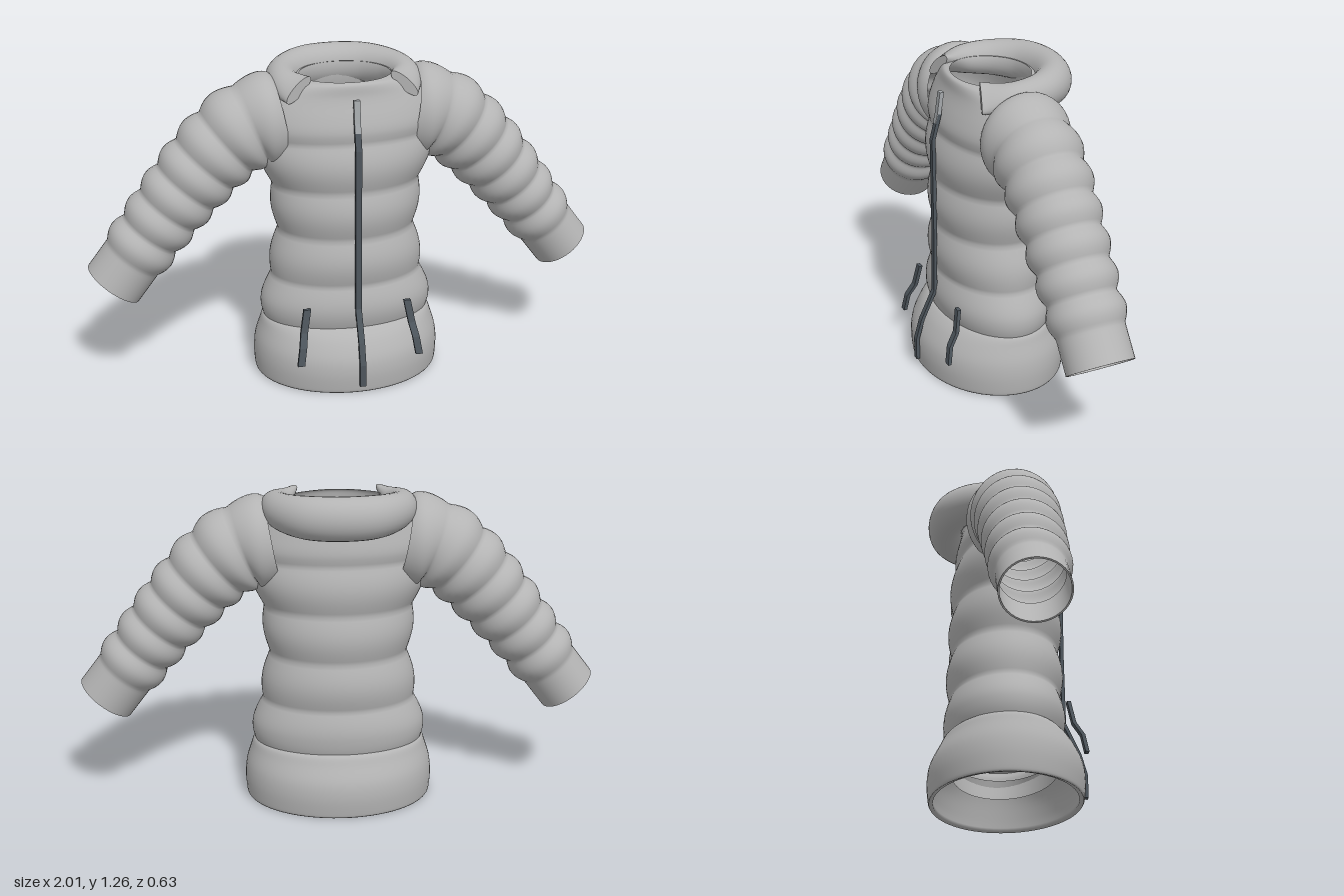
import * as THREE from 'three';

// Skin closed rings of points into one smooth surface
function loft(rings) {
  const n = rings[0].length, pos = [], idx = [];
  rings.forEach(r => r.forEach(p => pos.push(p.x, p.y, p.z)));
  for (let i = 0; i < rings.length - 1; i++) {
    for (let j = 0; j < n; j++) {
      const k = (j + 1) % n, a = i * n + j, b = i * n + k;
      idx.push(a, b, b + n, a, b + n, a + n);
    }
  }
  const g = new THREE.BufferGeometry();
  g.setAttribute('position', new THREE.Float32BufferAttribute(pos, 3));
  g.setIndex(idx);
  g.computeVertexNormals();
  return g;
}

// Close both ends of a ring list with flat, sharp-edged caps
function capped(rings) {
  const flat = ring => {
    const c = new THREE.Vector3();
    ring.forEach(p => c.add(p));
    c.divideScalar(ring.length);
    return ring.map(() => c);
  };
  const first = rings[0], last = rings[rings.length - 1];
  return [flat(first), first, ...rings, last, flat(last)];
}

// Smoothly resample rows of numbers
function sampleRows(rows, count) {
  const f = new THREE.CubicInterpolant(rows.map((_, i) => i), rows.flat(), rows[0].length);
  return Array.from({ length: count + 1 }, (_, i) =>
    Array.from(f.evaluate(Math.min(i / count * (rows.length - 1), rows.length - 1))));
}

function ringOf(n, fn) {
  return Array.from({ length: n }, (_, j) => fn(j / n * Math.PI * 2));
}

// Level oval with separate front and back depths
function oval(y, rx, front, back, puff = 0) {
  return ringOf(64, t => {
    const c = Math.cos(t);
    return new THREE.Vector3((rx + puff) * Math.sin(t), y, ((c > 0 ? front : back) + puff) * c);
  });
}

// Sleeve with stitched puffs, a plain cuff and a turned-in edge
function sleeve(side) {
  const path = new THREE.CatmullRomCurve3([
    [0.25, 1.05], [0.36, 1.03], [0.47, 0.955], [0.645, 0.765], [0.91, 0.425],
  ].map(([x, y]) => new THREE.Vector3(side * x, y, -0.015)));
  const ring = (s, scale) => {
    const c = path.getPointAt(s), d = path.getTangentAt(s);
    const out = new THREE.Vector3(0, 0, 1), b = d.clone().cross(out);
    const puff = s < 0.86 ? 0.02 * Math.abs(Math.sin(s / 0.86 * 7 * Math.PI)) : 0;
    const fade = Math.min(1, s / 0.75);
    const rz = (THREE.MathUtils.lerp(0.155, 0.125, fade) + puff) * scale;
    const rb = (THREE.MathUtils.lerp(0.165, 0.118, fade) + puff) * scale;
    return ringOf(40, t => c.clone().addScaledVector(out, rz * Math.cos(t)).addScaledVector(b, rb * Math.sin(t)));
  };
  const rings = [];
  for (let i = 0; i <= 98; i++) rings.push(ring(i / 98, 1));
  rings.push(ring(1, 1), ring(1, 0.95), ring(1, 0.95), ring(0.86, 0.93));
  return loft(rings);
}

// Narrow rectangular strip following a few points, bottom to top
function strip(points, w, t) {
  const corners = [[-w, t], [w, t], [w, -t], [-w, -t]];
  const rings = points.map(([x, y, z]) => corners.map(([u, v]) => new THREE.Vector3(x + u, y, z + v)));
  const g = loft(capped(rings)).toNonIndexed();
  g.computeVertexNormals();
  return g;
}

export function createModel() {
  const model = new THREE.Group();
  model.name = 'paddedJacket';
  const material = (name, color) => {
    const m = new THREE.MeshStandardMaterial({ color, side: THREE.DoubleSide });
    m.name = name;
    return m;
  };
  const fabric = material('grey fabric', 0xb4b4b4);
  const zipDark = material('dark zip', 0x4d555c);
  const zipLight = material('light zip pull', 0xa4a8ab);
  const add = (name, geometry, mat) => {
    const m = new THREE.Mesh(geometry, mat);
    m.name = name;
    model.add(m);
  };

  // Quilted torso: height, half width, front depth, back depth
  const torso = sampleRows([
    [0.12, 0.305, 0.20, 0.20], [0.22, 0.325, 0.205, 0.218], [0.30, 0.322, 0.207, 0.215],
    [0.41, 0.298, 0.205, 0.212], [0.60, 0.268, 0.20, 0.205], [0.79, 0.288, 0.20, 0.20],
    [0.97, 0.335, 0.192, 0.193], [1.08, 0.335, 0.17, 0.177], [1.15, 0.31, 0.155, 0.177],
    [1.195, 0.245, 0.148, 0.183], [1.207, 0.175, 0.132, 0.165],
  ], 120);
  add('torso', loft(torso.map(([y, rx, f, b]) => {
    const fade = THREE.MathUtils.clamp((1.17 - y) / 0.15, 0, 1);
    const puff = y > 0.22 ? 0.02 * fade * Math.abs(Math.sin((y - 0.22) / 0.19 * Math.PI)) : 0;
    return oval(y, rx, f, b, puff);
  })), fabric);

  // Flared hem band, from the inner facing round the bottom edge and up
  const hemInside = sampleRows([
    [0.2, 0.31, 0.2, 0.21], [0.12, 0.33, 0.25, 0.25], [0.05, 0.342, 0.27, 0.265], [0.004, 0.348, 0.275, 0.268],
  ], 12);
  const hemOutside = sampleRows([
    [0, 0.363, 0.291, 0.283], [0.015, 0.369, 0.296, 0.288], [0.08, 0.373, 0.3, 0.293],
    [0.14, 0.367, 0.29, 0.284], [0.2, 0.349, 0.258, 0.255], [0.235, 0.336, 0.224, 0.237],
    [0.245, 0.315, 0.2, 0.215],
  ], 30);
  add('hemBand', loft([...hemInside, ...hemOutside].map(r => oval(...r))), fabric);

  // Sleeves
  add('leftSleeve', sleeve(1), fabric);
  add('rightSleeve', sleeve(-1), fabric);

  // Open rolled collar: x, y, z, width, height, outward tilt
  const half = [
    [0.2, 1.185, 0.115, 0.066, 0.022, 0.72], [0.235, 1.182, 0.0, 0.06, 0.055, 0.45],
    [0.212, 1.18, -0.12, 0.066, 0.07, 0.2], [0.125, 1.18, -0.213, 0.07, 0.08, 0],
  ];
  const collarRows = sampleRows([
    ...half.map(([x, ...r]) => [-x, ...r]), [0, 1.18, -0.242, 0.07, 0.082, 0], ...half.slice().reverse(),
  ], 64);
  const up = new THREE.Vector3(0, 1, 0);
  const collar = collarRows.map(([x, y, z, a, b, tilt], i) => {
    const p = collarRows[Math.max(i - 1, 0)], q = collarRows[Math.min(i + 1, 64)];
    const out = up.clone().cross(new THREE.Vector3(q[0] - p[0], 0, q[2] - p[2]).normalize());
    return ringOf(28, t => {
      const u = a * Math.cos(t), v = b * Math.sin(t);
      return new THREE.Vector3(x, y, z)
        .addScaledVector(out, u * Math.cos(tilt) + v * Math.sin(tilt))
        .addScaledVector(up, v * Math.cos(tilt) - u * Math.sin(tilt));
    });
  });
  add('collar', loft(capped(collar)), fabric);

  // Front zip and its light top end
  add('frontZip', strip([
    [0, 0.035, 0.308], [0, 0.125, 0.308], [0, 0.21, 0.284], [0, 0.33, 0.228],
    [0, 0.6, 0.224], [0, 0.97, 0.224], [0, 1.07, 0.198],
  ], 0.012, 0.007), zipDark);
  add('zipPull', strip([[0, 1.035, 0.208], [0, 1.07, 0.2], [0, 1.155, 0.188]], 0.012, 0.008), zipLight);

  // Slanted pocket zips
  for (const s of [1, -1]) {
    add(s > 0 ? 'leftPocketZip' : 'rightPocketZip', strip([
      [s * 0.235, 0.13, 0.27], [s * 0.224, 0.2, 0.258], [s * 0.214, 0.25, 0.228], [s * 0.198, 0.34, 0.212],
    ], 0.014, 0.007), zipDark);
  }
  return model;
}
